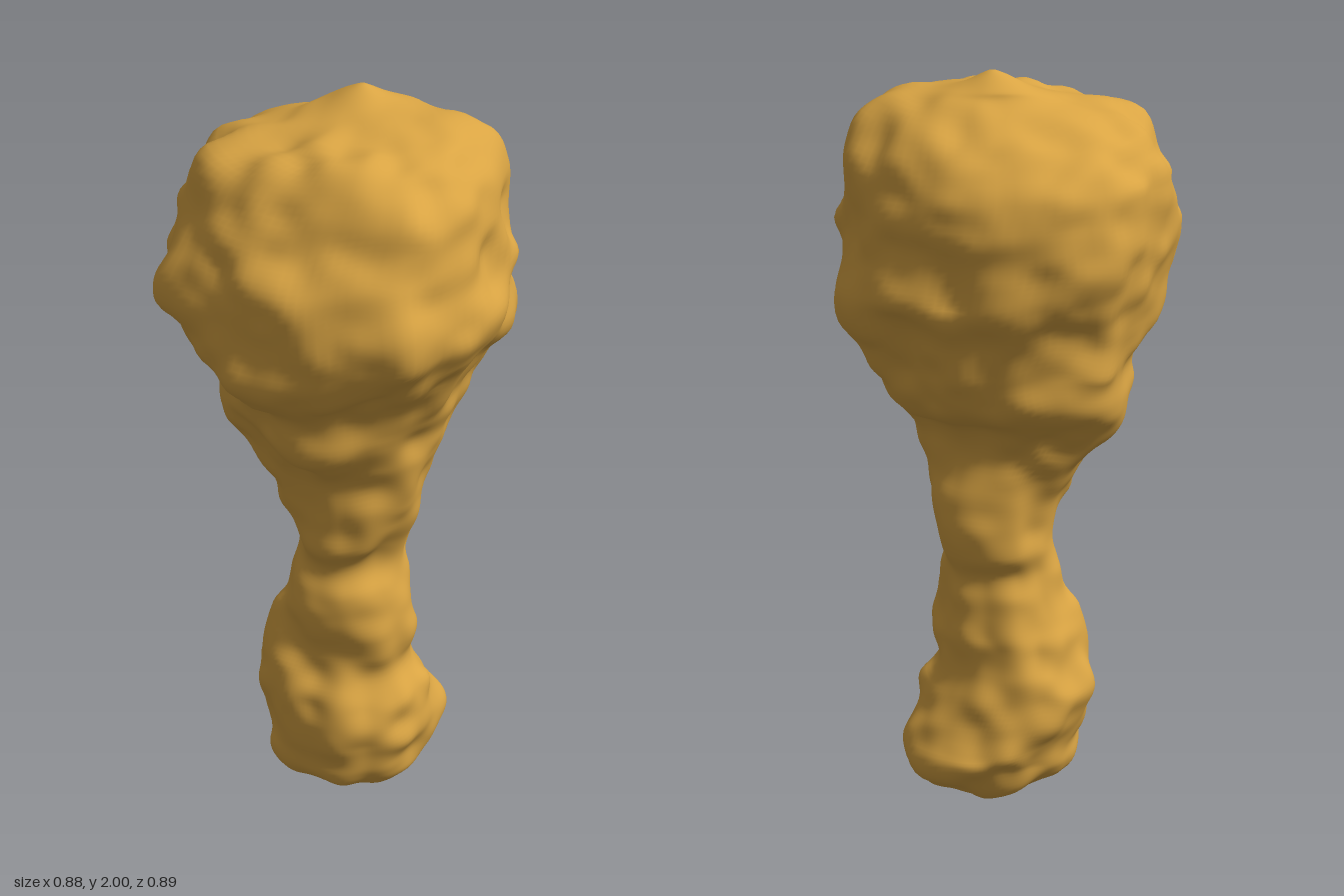
import * as THREE from 'three';

// Cross-sections from base to crown: [y, xMin, xMax, zMin, zMax]
const sections = [
  [0.00, 0.06, 0.08, -0.04, -0.02], [0.012, 0.00, 0.14, -0.09, 0.04],
  [0.045, -0.12, 0.20, -0.16, 0.15], [0.10, -0.17, 0.22, -0.22, 0.20],
  [0.17, -0.18, 0.24, -0.28, 0.21], [0.25, -0.22, 0.25, -0.25, 0.22],
  [0.34, -0.25, 0.24, -0.22, 0.21], [0.42, -0.21, 0.20, -0.20, 0.17],
  [0.50, -0.20, 0.21, -0.20, 0.16], [0.58, -0.17, 0.19, -0.17, 0.18],
  [0.65, -0.15, 0.18, -0.16, 0.17], [0.72, -0.13, 0.18, -0.18, 0.15],
  [0.80, -0.13, 0.20, -0.20, 0.18], [0.90, -0.17, 0.23, -0.19, 0.19],
  [1.00, -0.24, 0.26, -0.18, 0.19], [1.08, -0.31, 0.28, -0.22, 0.22],
  [1.16, -0.33, 0.29, -0.33, 0.28], [1.25, -0.33, 0.31, -0.36, 0.32],
  [1.35, -0.39, 0.38, -0.38, 0.43], [1.45, -0.42, 0.44, -0.45, 0.45],
  [1.55, -0.44, 0.44, -0.43, 0.45], [1.65, -0.43, 0.42, -0.44, 0.43],
  [1.75, -0.43, 0.41, -0.43, 0.37], [1.85, -0.36, 0.38, -0.35, 0.29],
  [1.93, -0.19, 0.28, -0.23, 0.20], [1.965, -0.10, 0.10, -0.19, 0.00],
  [2.00, -0.01, 0.01, -0.12, -0.10],
];

// Broad swellings and dents: [x, y, z, radius, height]
const lumps = [
  [-0.32, 1.56, 0.31, 0.11, 0.05], [0.32, 1.52, 0.32, 0.10, 0.06],
  [-0.30, 1.58, -0.30, 0.13, 0.05], [0.27, 1.40, -0.27, 0.12, 0.05],
  [0.27, 1.80, 0.22, 0.11, 0.05], [0.28, 1.87, -0.20, 0.10, 0.045],
  [-0.26, 1.84, 0.20, 0.10, 0.04], [0.08, 1.16, 0.25, 0.12, 0.04],
  [-0.24, 1.24, -0.24, 0.12, 0.035], [0.20, 1.20, -0.20, 0.11, 0.03],
  [-0.30, 1.36, 0.30, 0.10, -0.025], [0.30, 1.33, 0.30, 0.09, -0.02],
  [-0.15, 0.42, 0.13, 0.10, 0.045], [-0.13, 0.14, 0.15, 0.10, 0.04],
  [0.17, 0.14, -0.17, 0.12, 0.045], [-0.05, 1.93, 0.10, 0.09, -0.025],
];

// Smooth lattice noise in -1..1
function hash(x, y, z) {
  let h = Math.imul(x, 374761393) ^ Math.imul(y, 668265263) ^ Math.imul(z, 1274126177);
  h = Math.imul(h ^ (h >>> 13), 1103515245);
  h = Math.imul(h ^ (h >>> 15), 2246822519);
  return ((h ^ (h >>> 16)) >>> 0) / 2147483648 - 1;
}

function noise(x, y, z) {
  const c = [x, y, z].map(Math.floor);
  const f = [x, y, z].map((v, i) => v - c[i]).map((t) => t * t * (3 - 2 * t));
  let sum = 0;
  for (let k = 0; k < 8; k++) {
    const b = [k & 1, (k >> 1) & 1, k >> 2];
    const w = b.reduce((p, bit, i) => p * (bit ? f[i] : 1 - f[i]), 1);
    sum += w * hash(c[0] + b[0], c[1] + b[1], c[2] + b[2]);
  }
  return sum;
}

// Closed loft through the sections with shared seam vertices
function loftGeometry(rows, cols) {
  const low = new THREE.CatmullRomCurve3(sections.map((s) => new THREE.Vector3(s[1], s[0], s[3])), false, 'catmullrom');
  const high = new THREE.CatmullRomCurve3(sections.map((s) => new THREE.Vector3(s[2], s[0], s[4])), false, 'catmullrom');
  const pos = [];
  const index = [];
  for (let r = 0; r <= rows; r++) {
    const a = low.getPoint(r / rows);
    const b = high.getPoint(r / rows);
    const mid = a.clone().add(b).multiplyScalar(0.5);
    const half = b.clone().sub(a).multiplyScalar(0.5);
    const middle = THREE.MathUtils.smoothstep(mid.y, 0.1, 0.3) * (1 - THREE.MathUtils.smoothstep(mid.y, 1.6, 1.85));
    for (let c = 0; c < cols; c++) {
      const t = (c / cols) * Math.PI * 2;
      const x = mid.x + half.x * Math.cos(t);
      const z = mid.z + half.z * Math.sin(t);
      // Tilt each ring between the main axes so folds do not run level
      const tilt = 0.05 * middle * Math.sin(2 * t) ** 2 * noise(x * 5 + 2, mid.y * 3, z * 5 + 8);
      pos.push(x, mid.y + tilt, z);
      if (r === rows) continue;
      const p = r * cols + c;
      const q = r * cols + ((c + 1) % cols);
      index.push(p, p + cols, q, q, p + cols, q + cols);
    }
  }
  // End caps
  const base = pos.length / 3;
  for (const s of [sections[0], sections.at(-1)]) pos.push((s[1] + s[2]) / 2, s[0], (s[3] + s[4]) / 2);
  for (let c = 0; c < cols; c++) {
    const n = (c + 1) % cols;
    index.push(base, c, n, base + 1, rows * cols + n, rows * cols + c);
  }
  const geo = new THREE.BufferGeometry();
  geo.setAttribute('position', new THREE.Float32BufferAttribute(pos, 3));
  geo.setIndex(index);
  geo.computeVertexNormals();
  return geo;
}

// Push the surface along its normals to make it knobbly, fading out at both tips
function roughen(geo) {
  const pos = geo.attributes.position;
  const nor = geo.attributes.normal;
  const p = new THREE.Vector3();
  const n = new THREE.Vector3();
  const { smoothstep } = THREE.MathUtils;
  for (let i = 0; i < pos.count; i++) {
    p.fromBufferAttribute(pos, i);
    n.fromBufferAttribute(nor, i);
    const head = smoothstep(p.y, 0.9, 1.4);
    let d = (0.012 + 0.008 * head) * noise(p.x * 7 + 3, p.y * 8 + 5, p.z * 7 + 9);
    d += 0.014 * noise(p.x * 13 + 31, p.y * 15 + 7, p.z * 13 + 13) - 0.01;
    for (const [x, y, z, radius, height] of lumps) {
      const q = (p.x - x) ** 2 + (p.y - y) ** 2 + (p.z - z) ** 2;
      d += height * Math.exp(-q / (radius * radius));
    }
    d *= smoothstep(p.y, 0, 0.05) * (1 - smoothstep(p.y, 1.92, 2));
    p.addScaledVector(n, d);
    pos.setXYZ(i, p.x, p.y, p.z);
  }
  geo.computeVertexNormals();
  return geo;
}

export function createModel() {
  const group = new THREE.Group();
  group.name = 'drumstick';
  const body = new THREE.Mesh(
    roughen(loftGeometry(180, 112)),
    new THREE.MeshStandardMaterial({ color: 0xd9a443 }),
  );
  body.name = 'friedDrumstick';
  group.add(body);
  return group;
}
